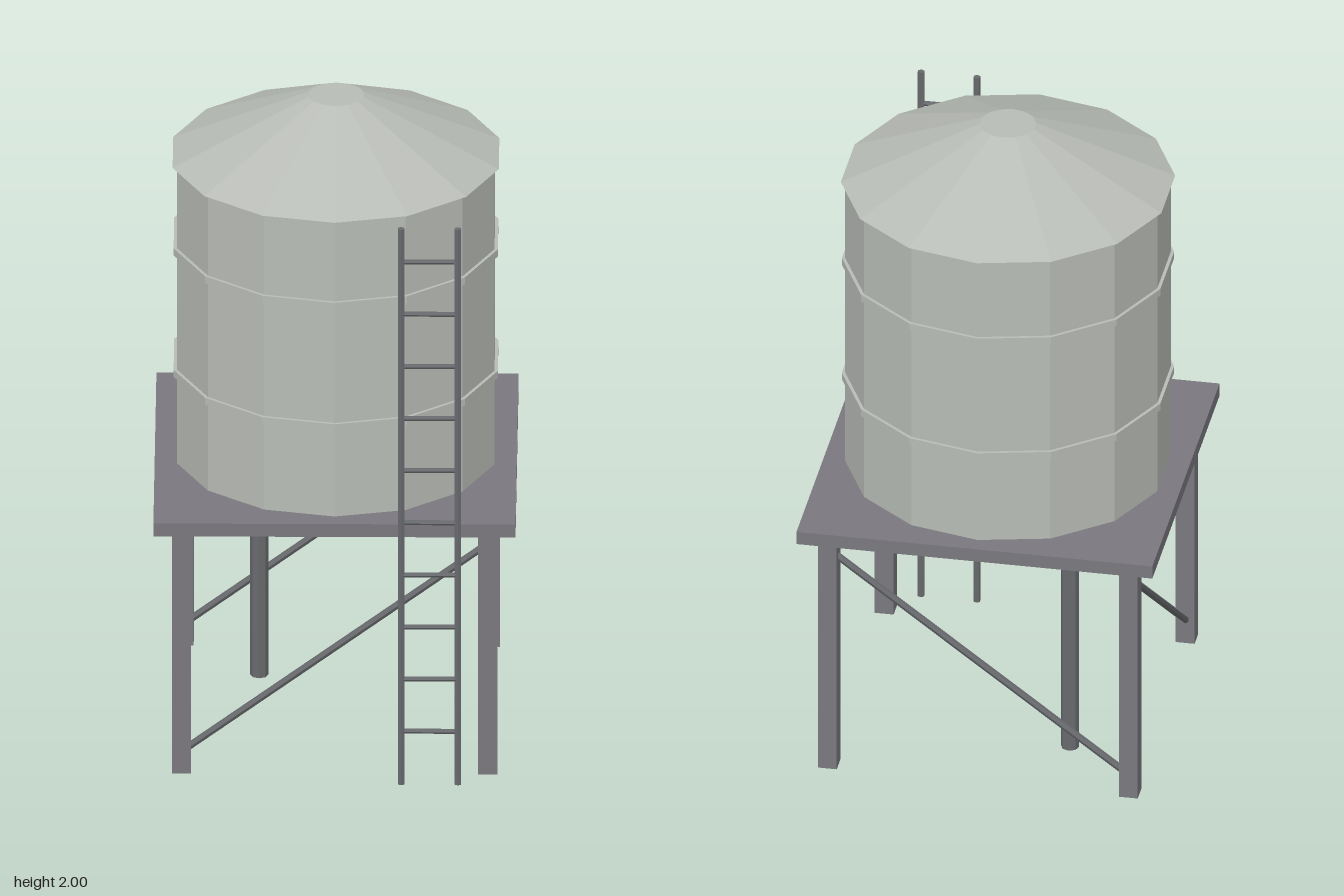
import * as THREE from 'three';

const mat = (name, color) => {
  const m = new THREE.MeshStandardMaterial({ color, flatShading: true });
  m.name = name;
  return m;
};

export function createModel() {
  const group = new THREE.Group();
  group.name = 'waterTower';
  const tankGrey = mat('pale tank grey', 0xb8bcb6);
  const steel = mat('frame grey', 0x7a787e);
  const pipe = mat('dark pipe grey', 0x686a6d);
  const CZ = -0.012; // the tower sits slightly back to leave room for the ladder

  const add = (name, geo, material, x, y, z, parent = group) => {
    const mesh = new THREE.Mesh(geo, material);
    mesh.name = name;
    mesh.position.set(x, y, z);
    parent.add(mesh);
    return mesh;
  };

  // Round bar between two points
  const bar = (name, a, b, r, sides, material, parent = group) => {
    const from = new THREE.Vector3(...a), to = new THREE.Vector3(...b);
    const dir = to.clone().sub(from);
    const mid = from.clone().add(to).multiplyScalar(0.5);
    const mesh = add(name, new THREE.CylinderGeometry(r, r, dir.length(), sides), material, mid.x, mid.y, mid.z, parent);
    mesh.quaternion.setFromUnitVectors(new THREE.Vector3(0, 1, 0), dir.normalize());
    return mesh;
  };

  // Tank, roof and bands, all fourteen-sided
  const drum = (name, rTop, rBottom, y0, y1) =>
    add(name, new THREE.CylinderGeometry(rTop, rBottom, y1 - y0, 14), tankGrey, 0, (y0 + y1) / 2, CZ);
  drum('tank', 0.484, 0.484, 0.84, 1.808);
  drum('roof', 0.084, 0.497, 1.808, 2);
  drum('lowerBand', 0.494, 0.494, 1.125, 1.148);
  drum('upperBand', 0.494, 0.494, 1.522, 1.545);

  // Platform and legs
  add('platform', new THREE.BoxGeometry(1.076, 0.042, 1.076), steel, 0, 0.821, CZ);
  const L = 0.455;
  for (const x of [-L, L])
    for (const z of [-L, L])
      add('leg', new THREE.BoxGeometry(0.057, 0.802, 0.057), steel, x, 0.401, z + CZ);

  // One diagonal brace on each side
  for (const s of [-L, L]) {
    bar('crossBrace', [-L, 0.06, s + CZ], [L, 0.742, s + CZ], 0.011, 6, pipe);
    bar('sideBrace', [s, 0.06, L + CZ], [s, 0.742, -L + CZ], 0.011, 6, pipe);
  }

  // Supply pipe under the tank
  bar('supplyPipe', [-0.23, 0, -0.235], [-0.23, 0.805, -0.235], 0.027, 8, pipe);

  // Ladder on the front
  const ladder = new THREE.Group();
  ladder.name = 'ladder';
  group.add(ladder);
  const x0 = 0.198, x1 = 0.367, lz = 0.539;
  for (const x of [x0, x1])
    bar('ladderRail', [x, 0, lz], [x, 1.815, lz], 0.011, 6, pipe, ladder);
  for (let i = 0; i < 10; i++) {
    const y = 0.172 + i * 0.1704;
    bar('ladderRung', [x0, y, lz], [x1, y, lz], 0.0075, 6, pipe, ladder);
  }
  return group;
}
